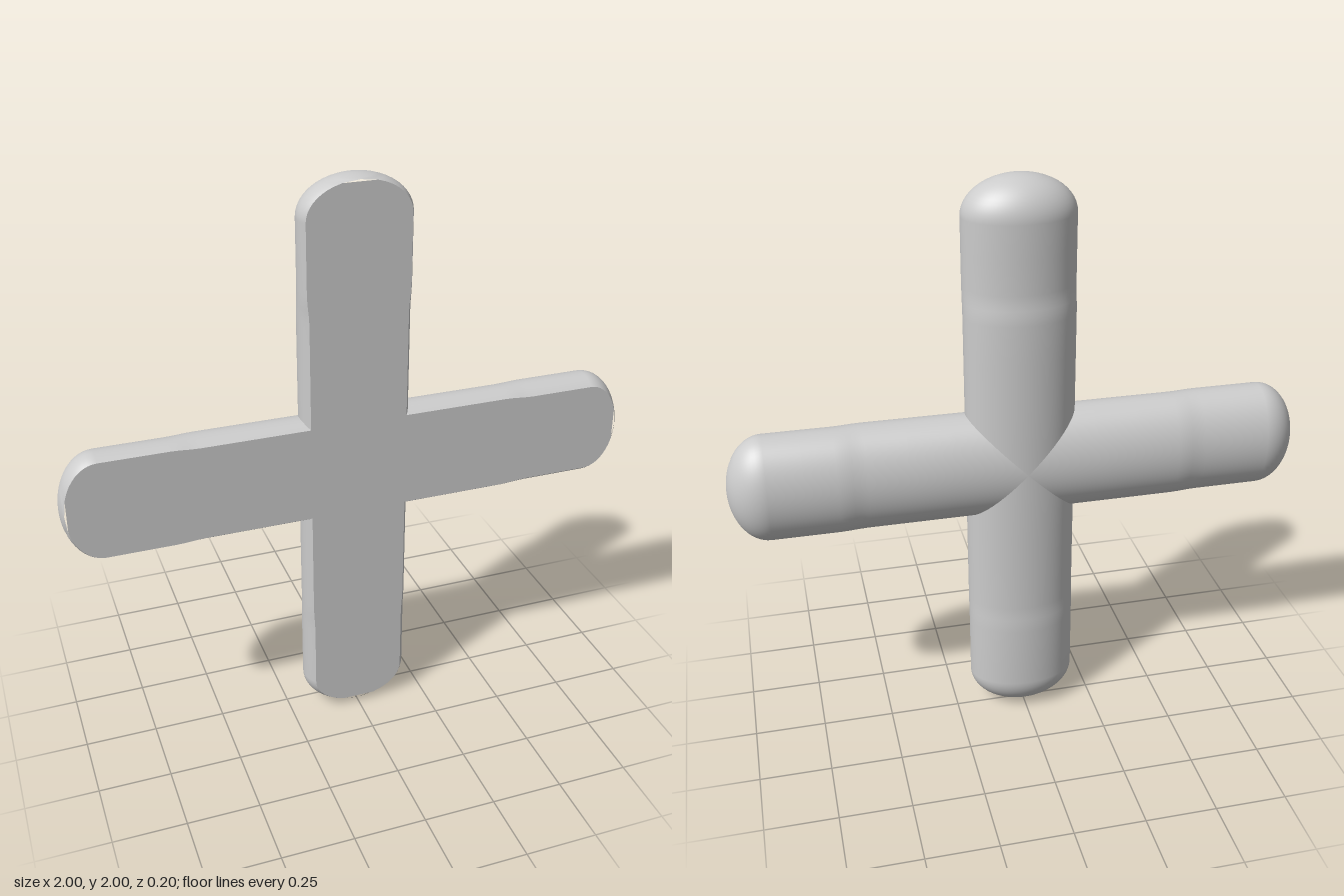
import * as THREE from 'three';
import { mergeVertices } from 'three/addons/utils/BufferGeometryUtils.js';

const HALF_WIDTH = 0.19, HALF_DEPTH = 0.13; // oval section of every arm
const FRONT = 0.095, AXIS_Z = 0.035;        // flat front plane, centre of the oval
const BODY = 0.87, TIP = 0.13;              // straight length, rounded end length
const SEGMENTS = 48;

// One ring of the oval section, opened where the flat front cuts it off
function ring(along, scale, axisZ) {
  const cut = Math.min(1, (FRONT - axisZ) / Math.max(HALF_DEPTH * scale, 1e-6));
  const start = Math.acos(cut);
  const points = [];
  for (let j = 0; j <= SEGMENTS; j++) {
    const t = start + (2 * Math.PI - 2 * start) * j / SEGMENTS;
    const x = HALF_WIDTH * scale * Math.sin(t);
    const y = along === null ? Math.abs(x) : along; // null: mitre against the next arm
    points.push([x, y, axisZ + HALF_DEPTH * scale * Math.cos(t)]);
  }
  return points;
}

// Arm pointing up from the crossing; its axis shifts slightly in z past the middle
function createArm(shift, material) {
  const axis = y => AXIS_Z + shift * THREE.MathUtils.smoothstep(y, 0.54, 0.64);
  const rings = [ring(null, 1, AXIS_Z)];
  for (const y of [0.25, 0.4, 0.54, 0.57, 0.59, 0.61, 0.64, 0.75]) rings.push(ring(y, 1, axis(y)));

  // Ellipsoid end, with one ring exactly where the flat front finishes
  const axisZ = axis(BODY);
  const frontEnd = Math.acos((FRONT - axisZ) / HALF_DEPTH);
  const angles = [];
  for (let i = 0; i < 10; i++) angles.push(frontEnd * i / 10);
  for (let i = 0; i <= 6; i++) angles.push(frontEnd + (Math.PI / 2 - frontEnd) * i / 6);
  for (const a of angles) rings.push(ring(BODY + TIP * Math.sin(a), Math.cos(a), axisZ));

  const shell = [], face = [];
  const quad = (out, a, b, c, d) => out.push(...a, ...b, ...c, ...a, ...c, ...d);
  face.push(0, 0, FRONT, ...rings[0][0], ...rings[0][SEGMENTS]);
  for (let i = 0; i < rings.length - 1; i++) {
    const low = rings[i], high = rings[i + 1];
    for (let j = 0; j < SEGMENTS; j++) quad(shell, low[j], low[j + 1], high[j + 1], high[j]);
    if (i < 18) quad(face, low[SEGMENTS], low[0], high[0], high[SEGMENTS]);
  }

  const arm = new THREE.Group();
  for (const [name, data] of [['roundedBack', shell], ['flatFront', face]]) {
    let geometry = new THREE.BufferGeometry();
    geometry.setAttribute('position', new THREE.Float32BufferAttribute(data, 3));
    geometry = mergeVertices(geometry, 1e-5);
    geometry.computeVertexNormals();
    const mesh = new THREE.Mesh(geometry, material);
    mesh.name = name;
    arm.add(mesh);
  }
  return arm;
}

export function createModel() {
  const model = new THREE.Group();
  model.name = 'cross';
  const material = new THREE.MeshStandardMaterial({ color: 0xcccccc });

  // Four mitred arms around the centre
  const arms = [
    ['topArm', 0, 0.01],
    ['leftArm', -Math.PI / 2, -0.008],
    ['bottomArm', Math.PI, -0.005],
    ['rightArm', Math.PI / 2, 0.008],
  ];
  for (const [name, angle, shift] of arms) {
    const arm = createArm(shift, material);
    arm.name = name;
    arm.rotation.z = angle;
    arm.position.y = 1;
    model.add(arm);
  }
  return model;
}
